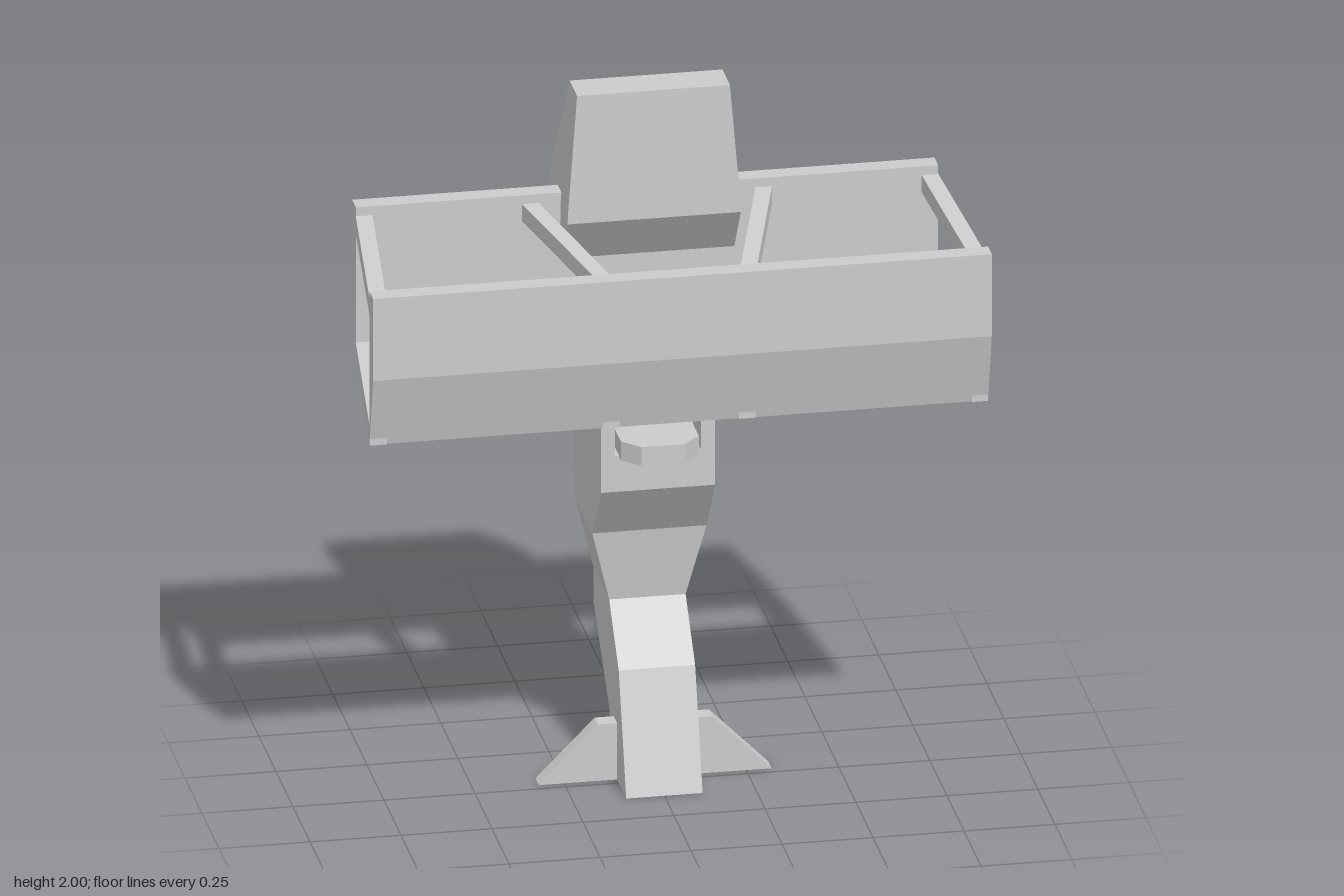
import * as THREE from 'three';

const material = new THREE.MeshStandardMaterial({ color: 0xcccccc, flatShading: true });

function add(group, name, geometry) {
  const mesh = new THREE.Mesh(geometry, material);
  mesh.name = name;
  group.add(mesh);
  return mesh;
}

// Extrusion of an outline, centred on its depth
function slab(points, depth) {
  const shape = new THREE.Shape(points.map(([x, y]) => new THREE.Vector2(x, y)));
  const geometry = new THREE.ExtrudeGeometry(shape, { depth, bevelEnabled: false });
  return geometry.translate(0, 0, -depth / 2);
}

// Side outline of [z, y] points, extruded across x
const sideSlab = (points, width) => slab(points, width).rotateY(-Math.PI / 2);

// Rectangular rings [y, front z, back z, half width] joined bottom to top
function loft(rings) {
  const positions = [];
  const index = [];
  for (const [y, front, back, w] of rings) {
    positions.push(w, y, front, w, y, back, -w, y, back, -w, y, front);
  }
  for (let i = 0; i < rings.length - 1; i++) {
    for (let k = 0; k < 4; k++) {
      const a = i * 4 + k;
      const b = i * 4 + (k + 1) % 4;
      index.push(a, b, b + 4, a, b + 4, a + 4);
    }
  }
  const t = (rings.length - 1) * 4;
  index.push(0, 2, 1, 0, 3, 2, t, t + 1, t + 2, t, t + 2, t + 3);
  const geometry = new THREE.BufferGeometry();
  geometry.setAttribute('position', new THREE.Float32BufferAttribute(positions, 3));
  geometry.setIndex(index);
  const flat = geometry.toNonIndexed();
  flat.computeVertexNormals();
  return flat;
}

// Strut with upright ends, sheared between its front and back centres
function strut(frontX, frontY, backX, backY) {
  const front = 0.325, back = -0.15;
  const geometry = new THREE.BoxGeometry(0.046, 0.05, 1);
  const p = geometry.attributes.position;
  for (let i = 0; i < p.count; i++) {
    const t = p.getZ(i) + 0.5;
    p.setXYZ(i,
      p.getX(i) + THREE.MathUtils.lerp(backX, frontX, t),
      p.getY(i) + THREE.MathUtils.lerp(backY, frontY, t),
      THREE.MathUtils.lerp(back, front, t));
  }
  geometry.computeVertexNormals();
  return geometry;
}

export function createModel() {
  const model = new THREE.Group();
  model.name = 'model';

  // Bent leg, torso, neck and head in one column
  add(model, 'body', loft([
    [0, 0.11, -0.105, 0.105],
    [0.165, 0.055, -0.14, 0.105],
    [0.33, 0, -0.317, 0.105],
    [0.38, -0.047, -0.37, 0.105],
    [0.48, -0.14, -0.37, 0.105],
    [0.69, -0.11, -0.37, 0.157],
    [0.86, 0.015, -0.37, 0.157],
    [0.965, 0.015, -0.37, 0.157],
    [0.965, -0.1, -0.37, 0.157],
    [1.3, -0.1, -0.37, 0.157],
    [1.33, -0.1, -0.37, 0.172],
    [1.33, -0.15, -0.37, 0.172],
    [1.46, -0.15, -0.37, 0.24],
    [1.48, -0.15, -0.365, 0.24],
    [1.63, -0.04, -0.325, 0.238],
    [1.66, -0.04, -0.32, 0.237],
    [2, -0.05, -0.16, 0.21],
  ]));

  // Chest recess: a wall on each side and a chamfered ledge
  const wall = [[-0.1, 0.965], [0.015, 0.965], [0.015, 1.2], [-0.1, 1.33]];
  for (const side of [1, -1]) {
    add(model, side > 0 ? 'leftChestWall' : 'rightChestWall', sideSlab(wall, 0.039))
      .position.x = side * 0.1375;
  }
  const ledge = slab([
    [-0.107, 0.1], [0.107, 0.1], [0.107, -0.043], [0.06, -0.092], [-0.06, -0.092], [-0.107, -0.043],
  ], 0.055).rotateX(-Math.PI / 2);
  add(model, 'chestLedge', ledge).position.y = 0.991;

  // Foot fins
  for (const side of [1, -1]) {
    const fin = slab([[0.09, 0], [0.32, 0], [0.157, 0.165], [0.09, 0.165]], 0.05);
    if (side < 0) fin.rotateY(Math.PI);
    add(model, side > 0 ? 'leftFootFin' : 'rightFootFin', fin).position.z = -0.05;
  }

  // Box frame: two long panels joined by struts
  const frame = new THREE.Group();
  frame.name = 'boxFrame';
  model.add(frame);
  add(frame, 'frontPanel', sideSlab([[0.32, 1.18], [0.375, 1.39], [0.375, 1.63], [0.32, 1.63]], 1.7));
  add(frame, 'backPanel', sideSlab([[-0.145, 1.23], [-0.145, 1.68], [-0.2, 1.68], [-0.2, 1.45]], 1.6));
  for (const side of [1, -1]) {
    for (const [level, frontY, backY] of [['upper', 1.575, 1.63], ['lower', 1.205, 1.26]]) {
      add(frame, `${level}OuterStrut`, strut(side * 0.826, frontY, side * 0.777, backY));
      add(frame, `${level}InnerStrut`, strut(side * 0.187, frontY, side * 0.322, backY));
    }
  }
  return model;
}
